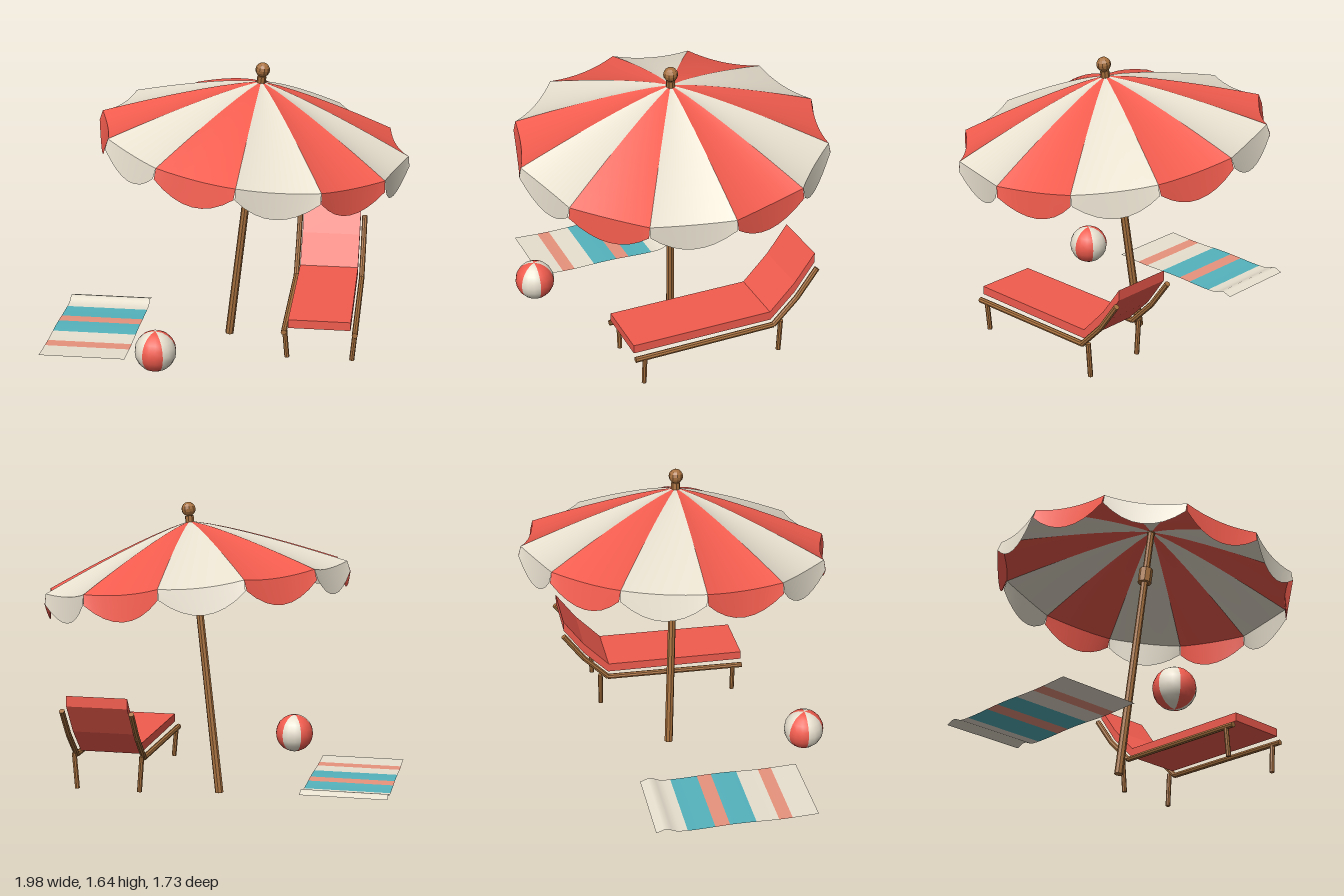
import * as THREE from 'three';
import { ParametricGeometry } from 'three/addons/geometries/ParametricGeometry.js';

const V = (x, y, z) => new THREE.Vector3(x, y, z);
const paint = (color, extra = {}) => new THREE.MeshStandardMaterial({ color, ...extra });
const RED = 0xf25c4e, CREAM = 0xe8e0cf, TEAL = 0x55b3bd, SALMON = 0xe8937d;
const wood = paint(0xa8713f, { flatShading: true });
const red = paint(RED);
const cloth = {};
for (const c of [RED, CREAM, TEAL, SALMON]) cloth[c] = paint(c, { side: THREE.DoubleSide });

function add(parent, name, geometry, material) {
  const mesh = new THREE.Mesh(geometry, material);
  mesh.name = name;
  parent.add(mesh);
  return mesh;
}

// Round bar between two points
function rod(parent, name, a, b, radius, endRadius = radius) {
  const mesh = add(parent, name, new THREE.CylinderGeometry(endRadius, radius, a.distanceTo(b), 8), wood);
  mesh.position.copy(a).lerp(b, 0.5);
  mesh.quaternion.setFromUnitVectors(V(0, 1, 0), b.clone().sub(a).normalize());
  return mesh;
}

function group(parent, name) {
  const g = new THREE.Group();
  g.name = name;
  parent.add(g);
  return g;
}

function buildParasol(root) {
  const parasol = group(root, 'parasol');
  const foot = V(-0.02, 0.003, -0.06), apex = V(0.165, 1.535, 0.02);
  const length = foot.distanceTo(apex);
  parasol.position.copy(foot);
  parasol.quaternion.setFromUnitVectors(V(0, 1, 0), apex.clone().sub(foot).normalize());

  rod(parasol, 'pole', V(0, 0, 0), V(0, length + 0.01, 0), 0.024, 0.02);
  rod(parasol, 'runnerHub', V(0, 1.2, 0), V(0, 1.29, 0), 0.04);
  rod(parasol, 'topCollar', V(0, length - 0.01, 0), V(0, length + 0.03, 0), 0.025);
  add(parasol, 'finial', new THREE.SphereGeometry(0.04, 10, 8), wood).position.y = length + 0.067;

  // Twelve sagging panels, each with a scalloped valance
  const step = Math.PI / 6;
  const rib = (angle, t) => V(Math.sin(angle) * 0.856 * t, length - 0.302 * t ** 1.2, Math.cos(angle) * 0.856 * t);
  for (let k = 0; k < 12; k++) {
    const material = cloth[k % 2 ? RED : CREAM];
    const mid = (k + 0.5) * step;
    const outward = V(Math.sin(mid), 0, Math.cos(mid));
    const surface = (t, s, target) => {
      const sag = 4 * s * (1 - s) * t;
      target.copy(rib(k * step, t)).lerp(rib((k + 1) * step, t), s).addScaledVector(outward, -0.016 * sag);
      target.y -= 0.018 * sag;
    };
    add(parasol, 'canopyPanel', new ParametricGeometry(
      (u, v, p) => surface(0.01 + 0.99 * u, v, p), 8, 8), material);
    add(parasol, 'valance', new ParametricGeometry((u, v, p) => {
      const scallop = 4 * v * (1 - v);
      surface(1, v, p);
      p.addScaledVector(outward, u * (0.013 + 0.008 * scallop));
      p.y -= u * (0.057 + 0.082 * scallop);
    }, 2, 8), material);
  }
}

function buildLounger(root) {
  const lounger = group(root, 'lounger');
  lounger.position.x = 0.535;
  const path = [[0.46, 0.247], [-0.355, 0.262], [-0.495, 0.405], [-0.61, 0.565]];
  for (const side of [-1, 1]) {
    const x = side * 0.193;
    for (let i = 0; i < 3; i++) {
      const [a, b] = [path[i], path[i + 1]];
      rod(lounger, 'sideRail', V(x, a[1], a[0]), V(x, b[1], b[0]), 0.016);
    }
    for (const z of [0.405, -0.4]) {
      rod(lounger, 'leg', V(side * 0.178, 0.08, z), V(x, z > 0 ? 0.25 : 0.28, z), 0.014);
    }
  }
  // Cushion bent along the seat and back
  const outline = [[0.46, 0.275], [-0.35, 0.282], [-0.49, 0.425], [-0.605, 0.59],
    [-0.605, 0.648], [-0.49, 0.487], [-0.345, 0.333], [0.46, 0.323]];
  const shape = new THREE.Shape(outline.map(([z, y]) => new THREE.Vector2(z, y)));
  const cushion = new THREE.ExtrudeGeometry(shape, { depth: 0.34, bevelEnabled: false });
  cushion.translate(0, 0, -0.17).rotateY(-Math.PI / 2);
  add(lounger, 'cushion', cushion, red);
}

function buildBall(root) {
  const ball = group(root, 'beachBall');
  ball.position.set(-0.33, 0.193, 0.665);
  // Six wedges, one red wedge facing forward
  for (let k = 0; k < 6; k++) {
    const wedge = new THREE.SphereGeometry(0.113, 3, 10, Math.PI / 3 + k * Math.PI / 3, Math.PI / 3);
    add(ball, 'ballWedge', wedge, k % 2 ? paint(CREAM) : red);
  }
}

function buildTowel(root) {
  const towel = group(root, 'towel');
  const height = z => 0.085 + 0.003 * Math.sin(z * 13) + 0.022 * Math.exp(-(((z + 0.265) / 0.04) ** 2));
  // Stripes across the length, with one raised fold at the back
  const edges = [-0.32, -0.15, 0, 0.08, 0.225, 0.35, 0.425, 0.57];
  const colors = [CREAM, TEAL, SALMON, TEAL, CREAM, SALMON, CREAM];
  colors.forEach((color, i) => {
    add(towel, 'towelStripe', new ParametricGeometry((u, v, p) => {
      const z = edges[i] + (edges[i + 1] - edges[i]) * u;
      p.set(-1 + 0.48 * v, height(z), z);
    }, 8, 1), cloth[color]);
  });
}

export function createModel() {
  const root = new THREE.Group();
  root.name = 'beachSet';
  buildParasol(root);
  buildLounger(root);
  buildBall(root);
  buildTowel(root);
  return root;
}
